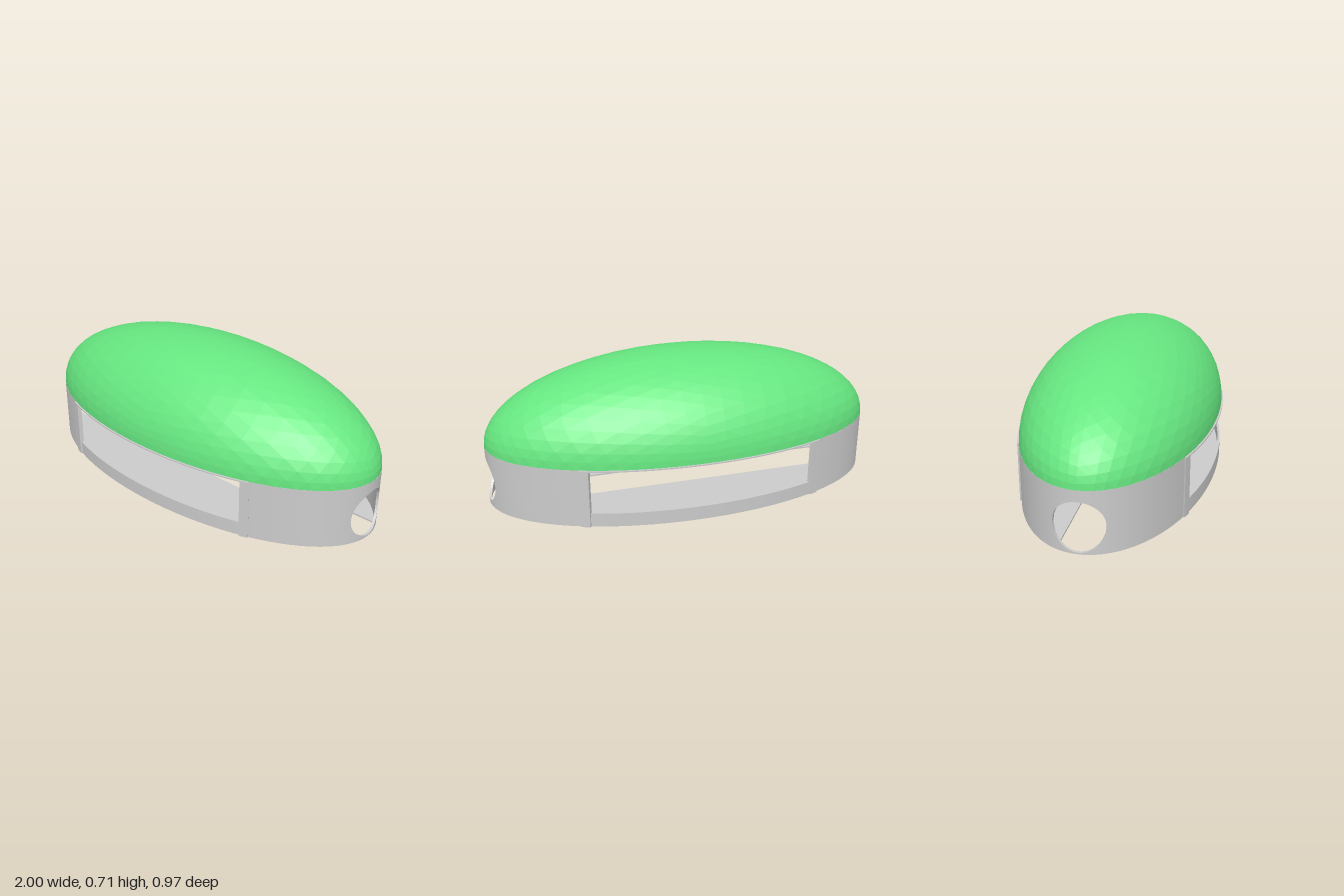
import * as THREE from 'three';

const B = 0.478, RIM = 0.295, THICK = 0.012;   // oval half depth, wall height, wall thickness
const HOLE_R = 0.117, HOLE_Y = 0.125;          // round doorway at each end
const SILL = 0.07, FLOOR = 0.008, SLOT = 0.1;  // sill height, floor thickness, half slot width

const grey = new THREE.MeshStandardMaterial({ color: 0xcccccc, side: THREE.DoubleSide });
const green = new THREE.MeshStandardMaterial({ color: 0x66e680, flatShading: true, side: THREE.DoubleSide });

// Curved slab following the oval from angle a0 to a1, between heights lo(z) and hi(z)
function band(name, a0, a1, lo, hi, out = 0, steps = 24) {
  const section = (i) => {
    const a = a0 + (a1 - a0) * i / steps;
    const z = B * Math.sin(a), y0 = lo(z), y1 = hi(z);
    const p = (o, y) => [(1 + o) * Math.cos(a), y, (B + o) * Math.sin(a)];
    return [p(out, y0), p(out, y1), p(-THICK, y1), p(-THICK, y0)];
  };
  const pos = [], index = [];
  for (let k = 0; k < 4; k++) {
    const base = pos.length / 3;
    for (let i = 0; i <= steps; i++) {
      const s = section(i);
      pos.push(...s[k], ...s[(k + 1) % 4]);
      if (i < steps) {
        const v = base + i * 2;
        index.push(v, v + 1, v + 3, v, v + 3, v + 2);
      }
    }
  }
  // end caps
  for (const [i, order] of [[0, [0, 3, 2, 1]], [steps, [0, 1, 2, 3]]]) {
    const v = pos.length / 3, s = section(i);
    order.forEach((k) => pos.push(...s[k]));
    index.push(v, v + 1, v + 2, v, v + 2, v + 3);
  }
  const g = new THREE.BufferGeometry();
  g.setAttribute('position', new THREE.Float32BufferAttribute(pos, 3));
  g.setIndex(index);
  g.computeVertexNormals();
  const mesh = new THREE.Mesh(g, grey);
  mesh.name = name;
  return mesh;
}

// Faceted half ellipsoid
function dome() {
  const src = new THREE.OctahedronGeometry(1, 15).getAttribute('position');
  const pos = [];
  for (let i = 0; i < src.count; i += 3) {
    if (src.getY(i) + src.getY(i + 1) + src.getY(i + 2) <= 0) continue;
    for (let k = i; k < i + 3; k++) {
      pos.push(src.getX(k), RIM + src.getY(k) * 0.412, src.getZ(k) * B);
    }
  }
  const g = new THREE.BufferGeometry();
  g.setAttribute('position', new THREE.Float32BufferAttribute(pos, 3));
  g.computeVertexNormals();
  const mesh = new THREE.Mesh(g, green);
  mesh.name = 'dome';
  return mesh;
}

// Half of the oval floor, on one side of the central slot
function floorHalf() {
  const a0 = Math.asin(SLOT / B), pts = [];
  for (let i = 0; i <= 64; i++) {
    const a = a0 + (Math.PI - 2 * a0) * i / 64;
    pts.push(new THREE.Vector2(0.995 * Math.cos(a), (B - 0.005) * Math.sin(a)));
  }
  const g = new THREE.ExtrudeGeometry(new THREE.Shape(pts), { depth: FLOOR, bevelEnabled: false });
  g.rotateX(-Math.PI / 2);
  const mesh = new THREE.Mesh(g, grey);
  mesh.name = 'floorHalf';
  return mesh;
}

export function createModel() {
  const model = new THREE.Group();
  model.name = 'ovalShelter';
  const zero = () => 0, rim = () => RIM;
  const chord = (z) => Math.sqrt(Math.max(0, HOLE_R ** 2 - z * z));
  const hole = Math.asin(HOLE_R / B), win = Math.acos(0.565), frame = Math.acos(0.6);

  for (const turn of [0, Math.PI]) {
    // end wall with a round doorway
    const end = new THREE.Group();
    end.name = 'endWall';
    end.add(
      band('wallSide', hole, win, zero, rim),
      band('wallSide', -win, -hole, zero, rim),
      band('wallBelowDoor', -hole, hole, zero, (z) => HOLE_Y - chord(z), 0, 48),
      band('wallAboveDoor', -hole, hole, (z) => HOLE_Y + chord(z), rim, 0, 48));

    // long window with sill, lintel and posts
    const side = new THREE.Group();
    side.name = 'window';
    side.add(
      band('sill', win, Math.PI - win, zero, () => SILL, 0, 40),
      band('lintel', frame, Math.PI - frame, () => RIM - 0.006, rim, 0.008, 40),
      band('post', frame, win + 0.01, zero, rim, 0.008, 4),
      band('post', Math.PI - win - 0.01, Math.PI - frame, zero, rim, 0.008, 4),
      floorHalf());

    end.rotation.y = side.rotation.y = turn;
    model.add(end, side);
  }
  model.add(dome());
  return model;
}
